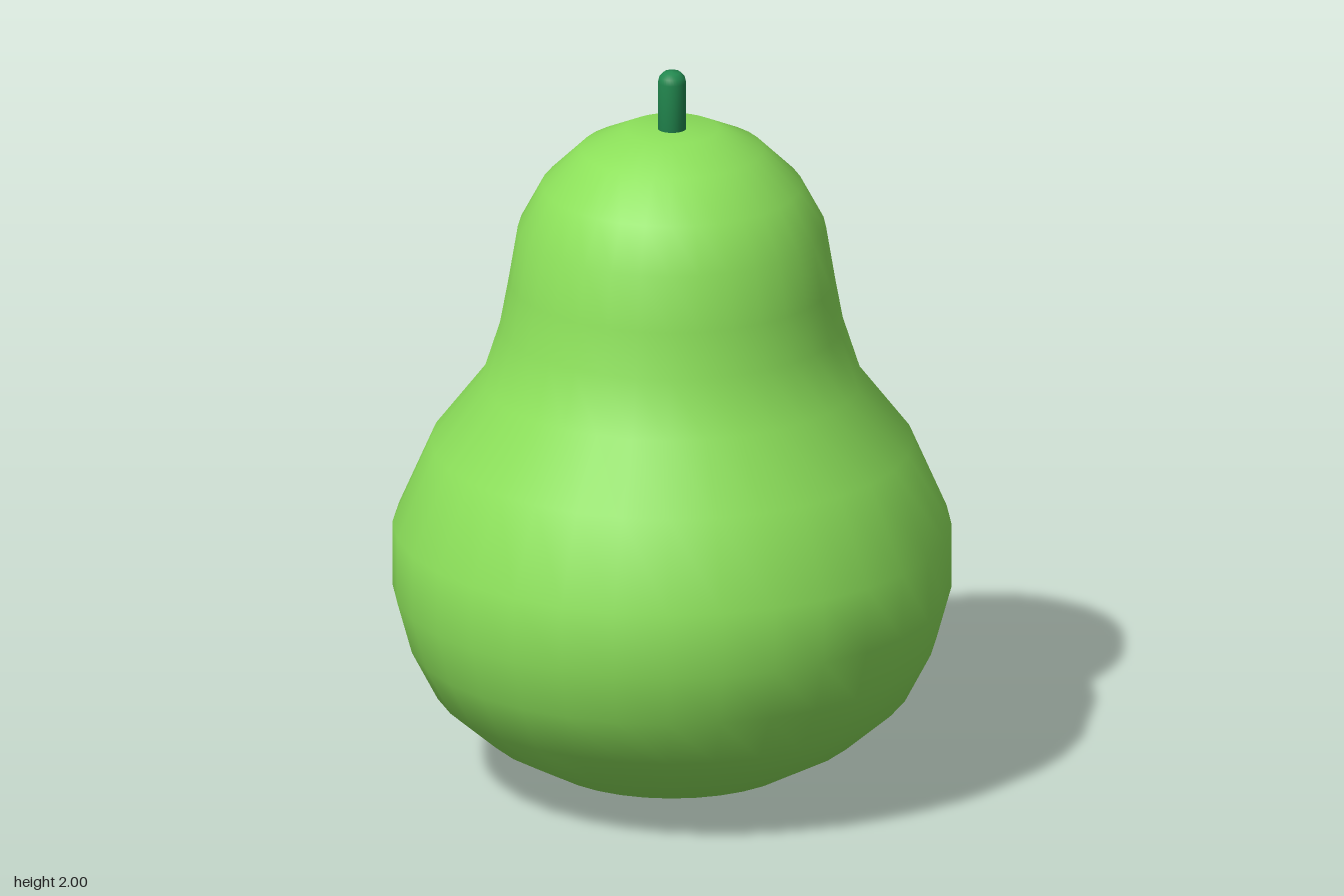
import * as THREE from 'three';

const SEGMENTS = 32;

// Revolve a list of [radius, height] points around the y axis
function lathe(points, material, name) {
  const profile = points.map(([r, y]) => new THREE.Vector2(r, y));
  const mesh = new THREE.Mesh(new THREE.LatheGeometry(profile, SEGMENTS), material);
  mesh.name = name;
  return mesh;
}

export function createModel() {
  const skin = new THREE.MeshStandardMaterial({ color: 0x8ce05a });
  skin.name = 'pear green';
  const stalk = new THREE.MeshStandardMaterial({ color: 0x22884f });
  stalk.name = 'stem green';

  // Pear body: wide belly, soft waist and rounded shoulder
  const body = lathe([
    [0, 0.02], [0.18, 0], [0.35, 0.06], [0.505, 0.145], [0.637, 0.26],
    [0.707, 0.395], [0.747, 0.54], [0.747, 0.72], [0.645, 0.955],
    [0.51, 1.13], [0.46, 1.285], [0.437, 1.41], [0.412, 1.56],
    [0.348, 1.68], [0.245, 1.78], [0.125, 1.837], [0, 1.837],
  ], skin, 'body');

  // Shallow groove across the underside, running front to back
  const pos = body.geometry.attributes.position;
  for (let i = 0; i < pos.count; i++) {
    const r = Math.hypot(pos.getX(i), pos.getZ(i));
    if (pos.getY(i) < 0.01 && r > 0.1) {
      pos.setY(i, 0.02 * (pos.getZ(i) / r) ** 2);
    }
  }

  // Stem with a rounded tip
  const stem = lathe([
    [0, 1.8], [0.038, 1.8], [0.038, 1.968], [0.034, 1.984],
    [0.022, 1.996], [0, 2],
  ], stalk, 'stem');

  const group = new THREE.Group();
  group.name = 'pear';
  group.add(body, stem);
  return group;
}
